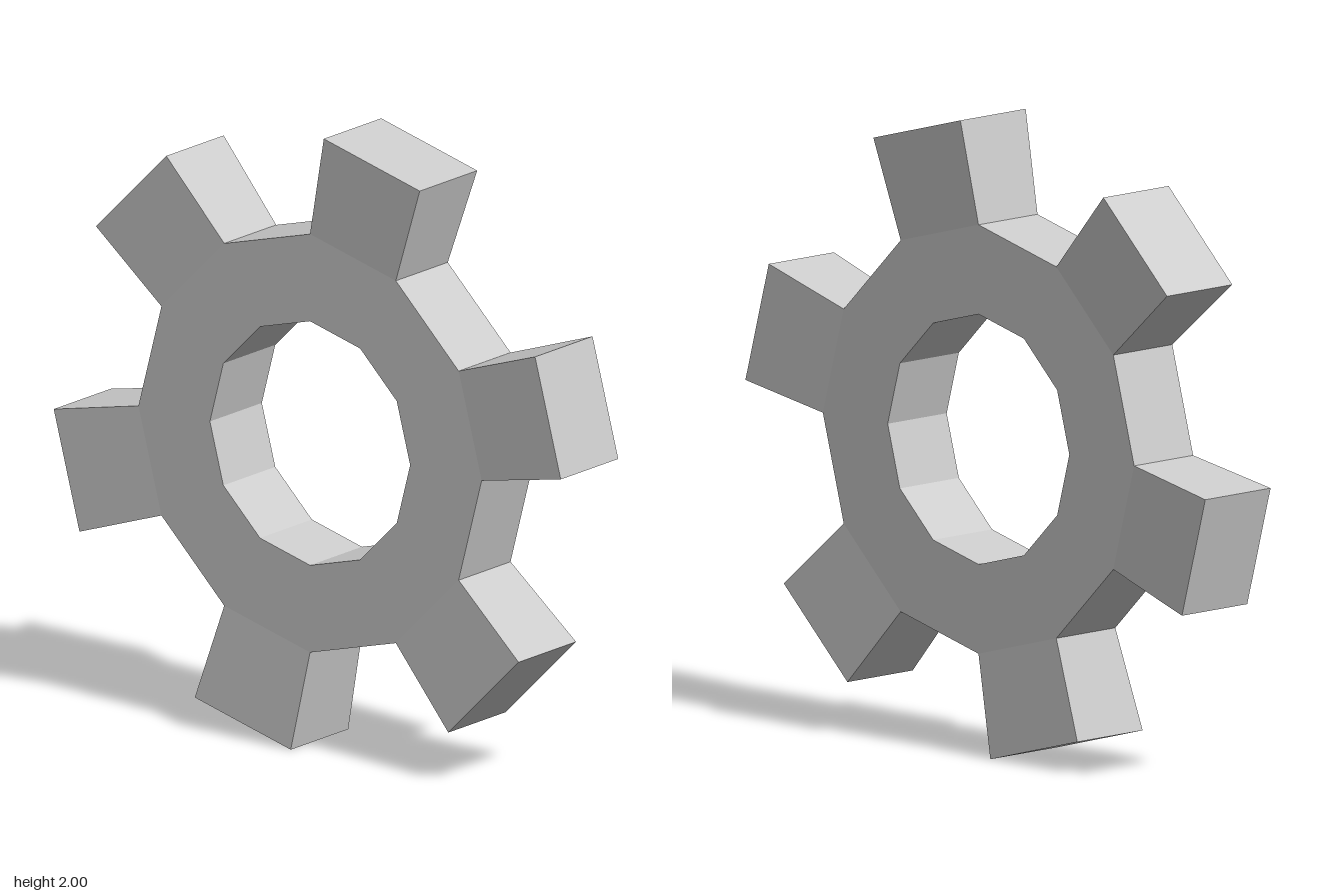
import * as THREE from 'three';

const SIDES = 12;
const INNER_R = 0.395, OUTER_R = 0.677, RING_Z = 0.131;
const TIP_DIST = 0.983, TIP_HALF = 0.196, TIP_Z = 0.145;

// Flat-shaded mesh from quads whose corners run counter-clockwise seen from outside
function quadMesh(name, quads, material) {
  const points = quads.flatMap(([a, b, c, d]) => [a, b, c, a, c, d]);
  const geometry = new THREE.BufferGeometry().setFromPoints(points);
  geometry.computeVertexNormals();
  const mesh = new THREE.Mesh(geometry, material);
  mesh.name = name;
  return mesh;
}

const polar = (r, angle, z) => new THREE.Vector3(r * Math.cos(angle), r * Math.sin(angle), z);

export function createModel() {
  const gear = new THREE.Group();
  gear.name = 'gear';
  const material = new THREE.MeshStandardMaterial({ color: 0xcccccc, flatShading: true });
  const step = (Math.PI * 2) / SIDES;

  // Twelve-sided ring, left open on the rim where a tooth grows out
  const ringQuads = [];
  for (let i = 0; i < SIDES; i++) {
    const a = i * step, b = a + step;
    const corners = (z) => [polar(INNER_R, a, z), polar(OUTER_R, a, z), polar(OUTER_R, b, z), polar(INNER_R, b, z)];
    const f = corners(RING_Z), k = corners(-RING_Z);
    ringQuads.push(f, [...k].reverse(), [f[0], f[3], k[3], k[0]]);
    if (i % 2 === 1) ringQuads.push([f[1], k[1], k[2], f[2]]);
  }
  gear.add(quadMesh('ring', ringQuads, material));

  // One tooth pointing along +x, flaring slightly towards its tip
  const baseDist = OUTER_R * Math.cos(step / 2), baseHalf = OUTER_R * Math.sin(step / 2);
  const section = (x, h, z) => [[-h, z], [-h, -z], [h, -z], [h, z]].map(([y, w]) => new THREE.Vector3(x, y, w));
  const base = section(baseDist, baseHalf, RING_Z), tip = section(TIP_DIST, TIP_HALF, TIP_Z);
  const toothQuads = [tip];
  for (let j = 0; j < 4; j++) {
    const n = (j + 1) % 4;
    toothQuads.push([base[j], base[n], tip[n], tip[j]]);
  }

  // Six teeth on alternate sides of the ring
  for (let i = 0; i < SIDES; i += 2) {
    const tooth = quadMesh('tooth', toothQuads, material);
    tooth.rotation.z = (i + 0.5) * step;
    gear.add(tooth);
  }

  gear.position.y = 1;
  const model = new THREE.Group();
  model.add(gear);
  return model;
}
